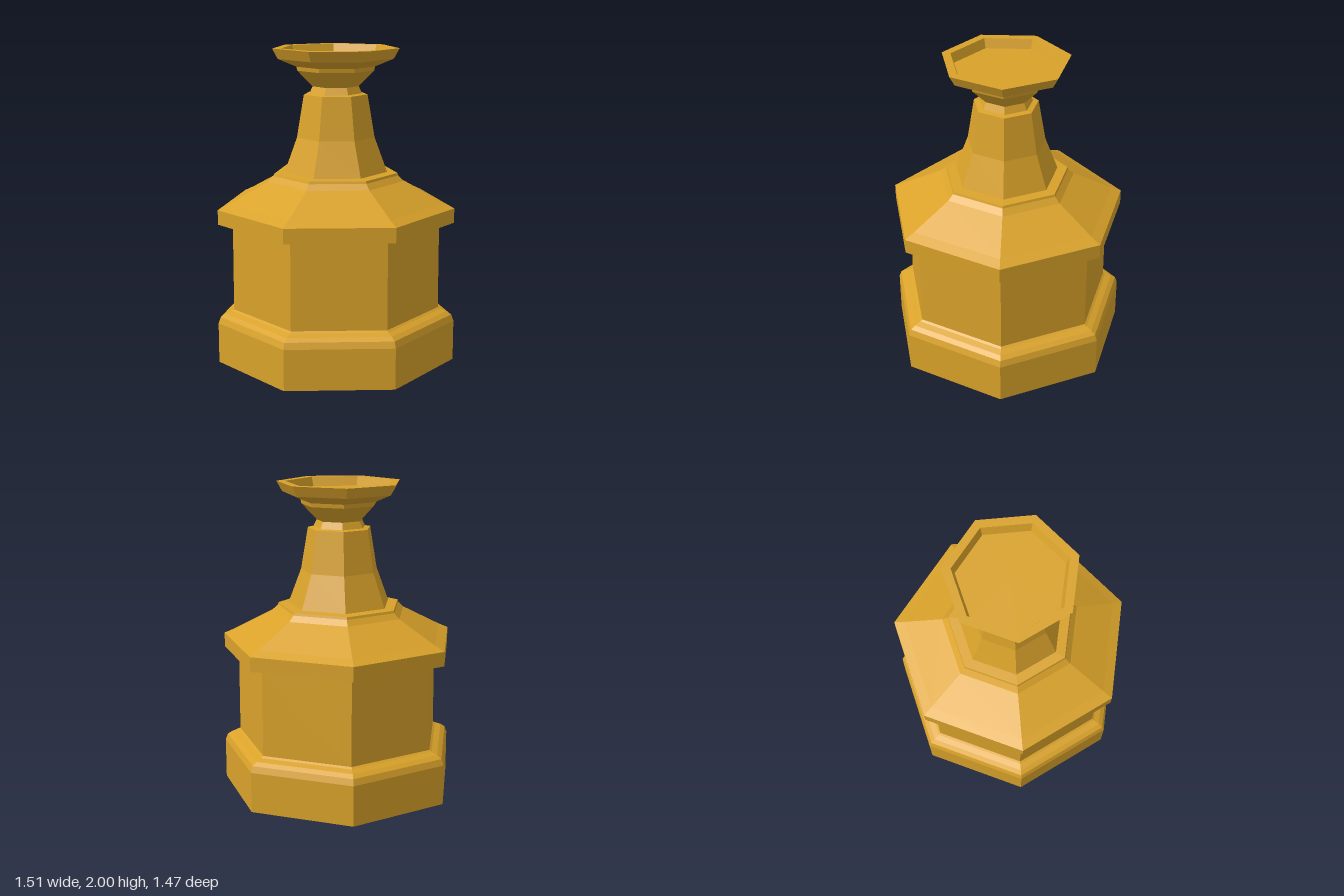
import * as THREE from 'three';

const SIDES = 7;
const material = new THREE.MeshStandardMaterial({ color: 0xd9a22a, flatShading: true });

// Seven-sided lathe with a corner at the back; profile is [half-width, y] from bottom to top
function turned(name, profile) {
  const toRadius = 1 / Math.sin((4 * Math.PI) / SIDES - Math.PI / SIDES * 0.0 + 0); // half-width to corner radius
  const points = profile.map(([w, y]) => new THREE.Vector2(w * toRadius, y));
  const geometry = new THREE.LatheGeometry(points, SIDES, Math.PI).toNonIndexed();
  geometry.computeVertexNormals();
  const mesh = new THREE.Mesh(geometry, material);
  mesh.name = name;
  return mesh;
}

export function createModel() {
  const model = new THREE.Group();
  model.name = 'pedestal';

  model.add(
    // Plinth with a closed bottom and a moulded upper edge
    turned('plinth', [[0, 0], [0.755, 0], [0.755, 0.26], [0.74, 0.3], [0.71, 0.32], [0.67, 0.335], [0.655, 0.345]]),
    // Straight body with a thin lip under the cornice
    turned('body', [[0.655, 0.345], [0.653, 0.89], [0.663, 0.89], [0.663, 0.907]]),
    // Overhanging cornice and sloping roof
    turned('roof', [[0.663, 0.907], [0.745, 0.907], [0.745, 1.0], [0.68, 1.03], [0.43, 1.165],
      [0.395, 1.2], [0.39, 1.215], [0.325, 1.22]]),
    // Tapering column
    turned('column', [[0.325, 1.22], [0.245, 1.44], [0.2, 1.71], [0.165, 1.716]]),
    // Narrow neck
    turned('neck', [[0.165, 1.716], [0.145, 1.76], [0.24, 1.86], [0.245, 1.885]]),
    // Shallow dish with a recessed floor
    turned('dish', [[0.245, 1.885], [0.36, 1.935], [0.395, 2.0], [0.34, 2.0], [0.32, 1.94], [0, 1.94]]),
  );

  // Centre the uneven front and back depth of the heptagon
  model.children.forEach((part) => { part.position.z = 0.038; });
  return model;
}
